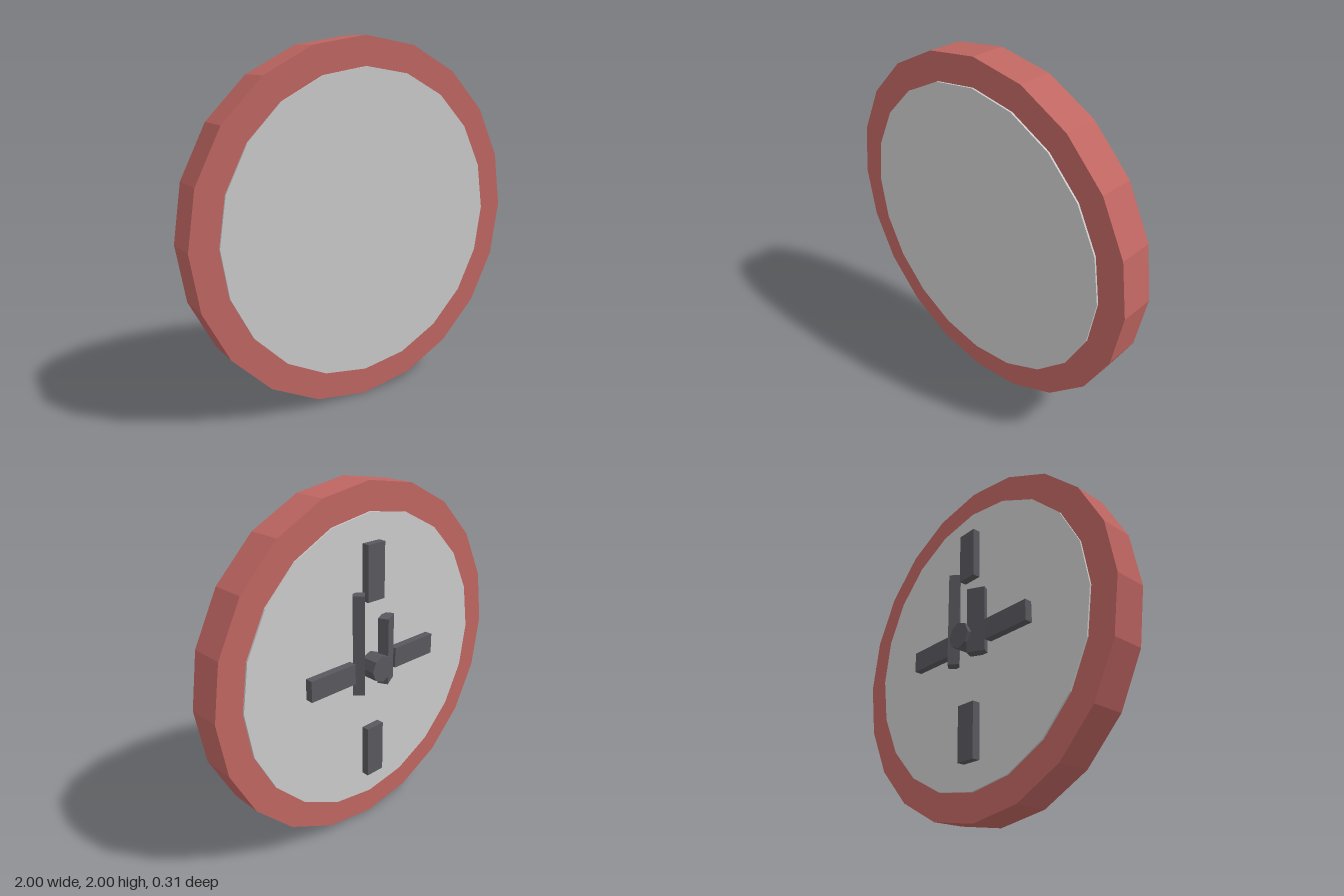
import * as THREE from 'three';

const mat = (color) => new THREE.MeshStandardMaterial({ color, flatShading: true });

export function createModel() {
  const model = new THREE.Group();
  model.name = 'wallClock';
  const red = mat(0xc06662), grey = mat(0xcccccc), dark = mat(0x58585e);

  // Cylinder lying along z, spanning z0..z1 around the clock centre
  const disc = (name, radius, z0, z1, sides, material) => {
    const geo = new THREE.CylinderGeometry(radius, radius, z1 - z0, sides).rotateX(Math.PI / 2);
    const mesh = new THREE.Mesh(geo, material);
    mesh.position.set(0, 1, (z0 + z1) / 2);
    mesh.name = name;
    model.add(mesh);
  };

  // Box placed by its centre, turned about the vertical axis
  const bar = (name, size, pos, turn = 0) => {
    const mesh = new THREE.Mesh(new THREE.BoxGeometry(...size), dark);
    mesh.position.set(...pos);
    mesh.rotation.y = turn;
    mesh.name = name;
    model.add(mesh);
  };

  // Body: thick rim, with a dial that stands slightly proud on both sides
  disc('rim', 1, -0.047, 0.147, 20, red);
  disc('dial', 0.845, -0.057, 0.157, 20, grey);

  // Four hour markers on the back
  for (const s of [1, -1]) {
    bar(s > 0 ? 'markerTop' : 'markerBottom', [0.12, 0.31, 0.06], [0, 1 + s * 0.537, -0.072]);
    bar(s > 0 ? 'markerLeft' : 'markerRight', [0.307, 0.12, 0.06], [s * 0.307, 1, -0.072]);
  }

  // Hands, twisted about their length and partly sunk into the dial
  bar('minuteHand', [0.064, 0.57, 0.064], [0.117, 1.155, -0.09], Math.PI / 4);
  bar('hourHand', [0.104, 0.388, 0.06], [-0.085, 1.077, -0.092], 0.49);

  // Centre hub
  disc('hub', 0.077, -0.157, -0.05, 8, dark);

  return model;
}
